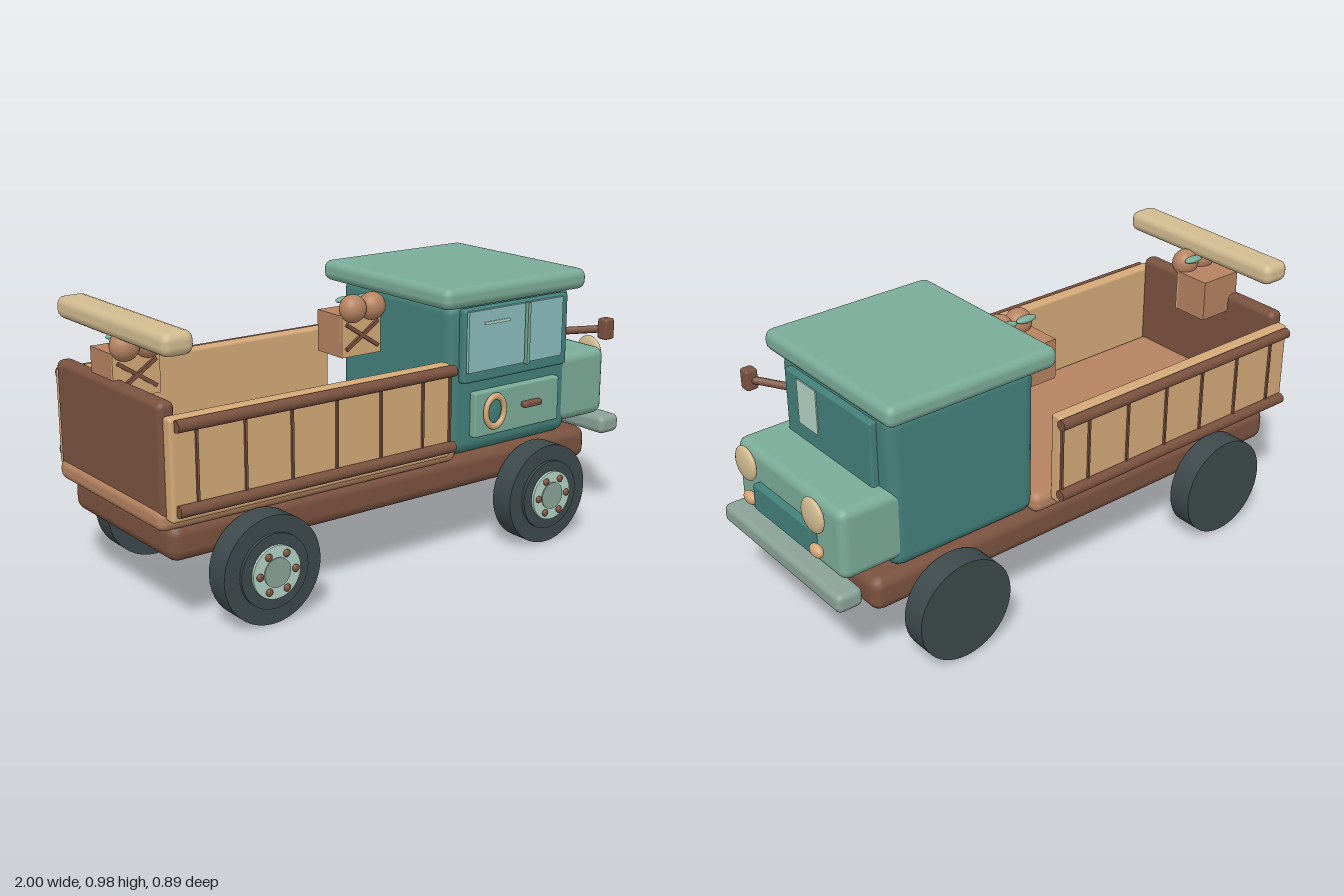
import * as THREE from 'three';
import { RoundedBoxGeometry } from 'three/addons/geometries/RoundedBoxGeometry.js';

const paint = (name, color) => {
  const m = new THREE.MeshStandardMaterial({ color });
  m.name = name;
  return m;
};

export function createModel() {
  const teal = paint('deep teal', 0x44807a);
  const green = paint('soft green', 0x7aab98);
  const glass = paint('window blue', 0x8bbcbc);
  const pale = paint('pale mint', 0xb2d2c5);
  const grey = paint('grey green', 0x8aa298);
  const rubber = paint('rubber', 0x3d494b);
  const brown = paint('dark brown', 0x7a523f);
  const wood = paint('warm wood', 0xb58260);
  const tan = paint('tan wood', 0xd3a877);
  const cream = paint('cream', 0xd0ba8f);

  const truck = new THREE.Group();
  truck.name = 'truck';

  const add = (name, geo, mat, x = 0, y = 0, z = 0, parent = truck) => {
    const mesh = new THREE.Mesh(geo, mat);
    mesh.name = name;
    mesh.position.set(x, y, z);
    parent.add(mesh);
    return mesh;
  };
  // Box given by its limits on each axis, with rounded edges when r > 0
  const box = (name, mat, [x0, x1], [y0, y1], [z0, z1], r = 0, parent = truck) => {
    const s = [x1 - x0, y1 - y0, z1 - z0];
    const geo = r ? new RoundedBoxGeometry(...s, 2, r) : new THREE.BoxGeometry(...s);
    return add(name, geo, mat, (x0 + x1) / 2, (y0 + y1) / 2, (z0 + z1) / 2, parent);
  };
  const ball = (name, mat, x, y, z, rx, ry, rz, parent = truck) => {
    const mesh = add(name, new THREE.SphereGeometry(1, 24, 16), mat, x, y, z, parent);
    mesh.scale.set(rx, ry, rz);
    return mesh;
  };
  // Cylinder whose axis runs along z
  const disc = (name, mat, r, z0, z1, parent) => {
    const geo = new THREE.CylinderGeometry(r, r, z1 - z0, 40).rotateX(Math.PI / 2);
    return add(name, geo, mat, 0, 0, (z0 + z1) / 2, parent);
  };

  // Chassis and cargo bed
  box('chassis', brown, [-0.95, 0.85], [0.245, 0.37], [-0.35, 0.31], 0.04);
  box('bedFloor', wood, [-0.995, 0.2], [0.36, 0.435], [-0.36, 0.32], 0.03);
  box('tailgate', brown, [-0.985, -0.925], [0.4, 0.775], [-0.36, 0.32], 0.022);

  // Slatted side walls; each has its rails and battens on the outside
  for (const [name, inner, out] of [['leftWall', 0.31, 1], ['rightWall', -0.35, -1]]) {
    const wall = new THREE.Group();
    wall.name = name;
    truck.add(wall);
    const span = (a, b) => [inner + out * a, inner + out * b].sort((p, q) => p - q);
    box('sidePanel', tan, [-0.97, 0.13], [0.4, 0.733], span(0, 0.048), 0.012, wall);
    for (const y of [0.44, 0.71]) {
      const rail = new THREE.CylinderGeometry(0.02, 0.02, 1.09, 10).rotateZ(Math.PI / 2);
      add('rail', rail, brown, -0.41, y, inner + out * 0.058, wall);
    }
    for (const x of [-0.88, -0.705, -0.53, -0.355, -0.175, 0.003, 0.122]) {
      box('batten', brown, [x - 0.004, x + 0.004], [0.43, 0.72], span(0.046, 0.056), 0, wall);
    }
  }

  // Cab, roof, hood and bumper
  box('cab', teal, [0.176, 0.758], [0.365, 0.92], [-0.333, 0.297], 0.045);
  box('roof', green, [0.12, 0.787], [0.907, 0.983], [-0.377, 0.343], 0.03);
  box('hood', green, [0.67, 0.948], [0.4, 0.658], [-0.328, 0.295], 0.035);
  box('bumper', grey, [0.903, 1], [0.327, 0.395], [-0.37, 0.333], 0.022);
  box('windshield', teal, [0.75, 0.782], [0.645, 0.886], [-0.263, 0.227], 0.008);
  box('windshieldGlint', pale, [0.781, 0.786], [0.714, 0.876], [0.037, 0.148]);
  box('grille', teal, [0.94, 0.975], [0.452, 0.549], [-0.186, 0.154], 0.006);
  for (const z of [0.182, -0.217]) {
    ball('headlight', cream, 0.976, 0.615, z, 0.019, 0.061, 0.061);
    ball('turnSignal', tan, 0.972, 0.482, z, 0.018, 0.023, 0.033);
  }

  // Door with side window, emblem ring and handle
  box('windowFrame', teal, [0.215, 0.708], [0.635, 0.9], [0.29, 0.327], 0.012);
  box('rearPane', glass, [0.225, 0.487], [0.677, 0.893], [0.325, 0.338]);
  box('frontPane', glass, [0.512, 0.67], [0.677, 0.893], [0.325, 0.338]);
  box('windowPost', green, [0.494, 0.507], [0.67, 0.893], [0.325, 0.345]);
  box('paneGlint', pale, [0.295, 0.412], [0.84, 0.85], [0.337, 0.342]);
  box('doorPanel', green, [0.272, 0.678], [0.43, 0.595], [0.29, 0.325], 0.008);
  const port = add('portRing', new THREE.TorusGeometry(0.043, 0.01, 10, 32), tan, 0.356, 0.52, 0.336);
  port.scale.set(1, 1.28, 1);
  ball('portCentre', teal, 0.356, 0.52, 0.326, 0.036, 0.05, 0.008);
  box('doorHandle', brown, [0.49, 0.577], [0.508, 0.53], [0.32, 0.348], 0.008);

  // Wing mirror on its arm
  const from = new THREE.Vector3(0.7, 0.752, 0.29);
  const to = new THREE.Vector3(0.805, 0.77, 0.415);
  const arm = new THREE.TubeGeometry(new THREE.LineCurve3(from, to), 1, 0.014, 8);
  add('mirrorArm', arm, brown);
  box('mirror', brown, [0.783, 0.83], [0.733, 0.81], [0.4, 0.445], 0.01);

  // Wheels, all with the hub towards +z
  for (const x of [-0.64, 0.56]) {
    for (const z of [0.36, -0.397]) {
      const wheel = new THREE.Group();
      wheel.name = 'wheel';
      wheel.position.set(x, 0.187, z);
      truck.add(wheel);
      disc('tyre', rubber, 0.184, -0.045, 0.045, wheel);
      disc('tyreStep', rubber, 0.127, 0.04, 0.057, wheel);
      disc('hub', pale, 0.09, 0.05, 0.067, wheel);
      disc('hubCap', grey, 0.05, 0.06, 0.071, wheel);
      for (let i = 0; i < 6; i++) {
        const a = (i * Math.PI) / 3;
        ball('bolt', brown, 0.068 * Math.cos(a), 0.068 * Math.sin(a), 0.072, 0.013, 0.013, 0.008, wheel);
      }
    }
  }

  // Produce crates with crossed braces, round fruit and leaves
  for (const x of [0.015, -0.88]) {
    const crate = new THREE.Group();
    crate.name = 'crate';
    crate.position.set(x, 0, 0);
    truck.add(crate);
    box('crateBody', wood, [-0.085, 0.085], [0.71, 0.86], [-0.14, -0.003], 0, crate);
    box('crateFront', tan, [-0.085, 0.085], [0.71, 0.86], [-0.003, 0.005], 0, crate);
    for (const s of [-1, 1]) {
      const brace = add('brace', new THREE.BoxGeometry(0.165, 0.013, 0.012), brown, 0, 0.783, 0.009, crate);
      brace.rotation.z = s * 0.58;
      ball('fruit', wood, s * 0.042, 0.883, 0.01, 0.05, 0.05, 0.046, crate);
      ball('leaf', green, s * 0.042, 0.908, -0.033, 0.042, 0.012, 0.018, crate);
    }
  }

  // Beam laid across the tail of the bed
  box('beam', cream, [-0.965, -0.853], [0.908, 0.985], [-0.383, 0.333], 0.03);

  return truck;
}
